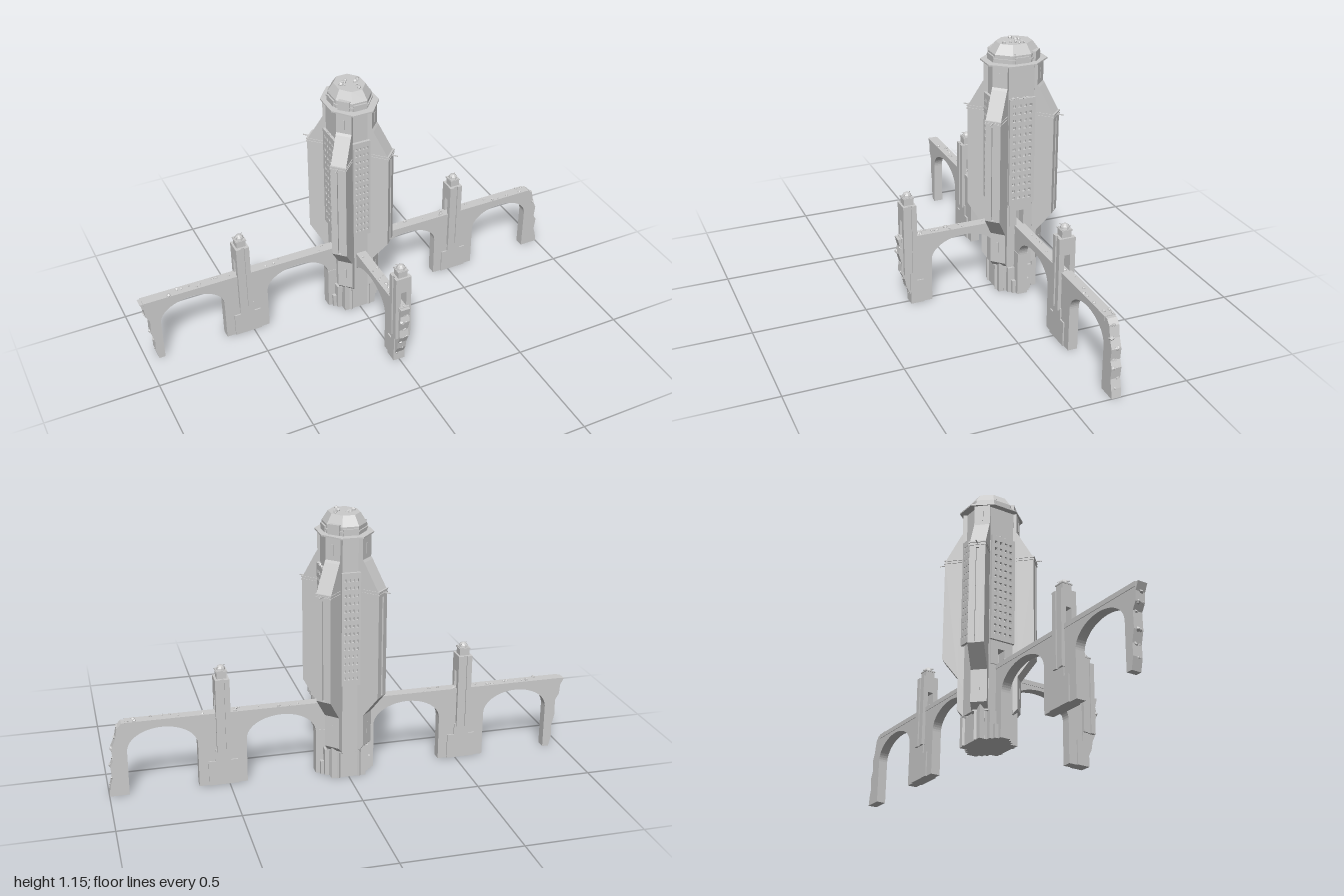
import * as THREE from 'three';

const MAT = new THREE.MeshStandardMaterial({ color: 0xcccccc, flatShading: true });
let seed = 7;
const rnd = () => (seed = (seed * 16807) % 2147483647) / 2147483647;
const range = (a, b) => a + (b - a) * rnd();

function add(parent, name, geo) {
  const m = new THREE.Mesh(geo, MAT);
  m.name = name;
  parent.add(m);
  return m;
}
// Box given by its extents along x, y and z
function box(parent, name, x0, x1, y0, y1, z0, z1) {
  const g = new THREE.BoxGeometry(x1 - x0, y1 - y0, z1 - z0);
  return add(parent, name, g.translate((x0 + x1) / 2, (y0 + y1) / 2, (z0 + z1) / 2));
}
const poly = pts => new THREE.Shape(pts.map(p => new THREE.Vector2(...p)));
// Extrusion centred on z = at
function plate(parent, name, shape, depth, at = 0) {
  const g = new THREE.ExtrudeGeometry(shape, { depth, bevelEnabled: false, curveSegments: 16 });
  return add(parent, name, g.translate(0, 0, at - depth / 2));
}
// Horizontal outline raised from y0 to y1
function prism(parent, name, pts, y0, y1) {
  const g = new THREE.ExtrudeGeometry(poly(pts), { depth: y1 - y0, bevelEnabled: false });
  return add(parent, name, g.rotateX(-Math.PI / 2).translate(0, y0, 0));
}
function rubble(parent, count, place, size = 0.009) {
  for (let i = 0; i < count; i++) {
    const m = add(parent, 'rubble', new THREE.DodecahedronGeometry(size * range(0.5, 1.1), 0));
    m.position.set(...place());
    m.rotation.set(range(0, 3), range(0, 3), range(0, 3));
    m.scale.set(1, range(0.5, 1), 1);
  }
}

// Wall panel pierced by a grid of square windows
function windowPanel(hw, y0, y1, cols, rows) {
  const s = poly([[-hw, y0], [hw, y0], [hw, y1], [-hw, y1]]);
  const dx = (hw * 1.7) / cols, dy = (y1 - y0 - 0.03) / rows, a = dx * 0.26, b = 0.0065;
  for (let c = 0; c < cols; c++) for (let r = 0; r < rows; r++) {
    const x = (c - (cols - 1) / 2) * dx, y = y0 + 0.015 + (r + 0.5) * dy;
    s.holes.push(new THREE.Path([[x - a, y - b], [x - a, y + b], [x + a, y + b], [x + a, y - b]]
      .map(p => new THREE.Vector2(...p))));
  }
  return s;
}

// Diagonal buttress: outer radius changes with height, slot down the end face
function buttress(parent, sx, sz) {
  const g = new THREE.Group();
  g.name = 'buttress';
  g.position.z = sz * 0.022;
  g.rotation.y = Math.atan2(-sz, sx);
  parent.add(g);
  const low = [[0.02, 0.115], [0.075, 0.115], [0.107, 0.15], [0.107, 0.29], [0.175, 0.38]];
  const high = [[0.175, 0.835], [0.107, 0.955], [0.1, 0.965], [0.1, 1.06], [0.02, 1.06]];
  const slot = [[0.175, 0.385], [0.166, 0.385], [0.166, 0.815], [0.175, 0.815]];
  for (const s of [-1, 1]) plate(g, 'buttressCheek', poly([...low, ...high]), 0.028, s * 0.02);
  plate(g, 'buttressSlot', poly([...low, ...slot, ...high]), 0.012);
  for (const y of [0.828, 0.84]) box(g, 'buttressBand', 0.1, 0.178, y - 0.003, y + 0.003, -0.037, 0.037);
  box(g, 'spar', 0.17, 0.206, 0.832, 0.836, -0.002, 0.002);
  box(g, 'lowerSlit', 0.1, 0.109, 0.2, 0.25, -0.005, 0.005);
  box(g, 'upperSlit', 0.09, 0.102, 0.985, 1.03, -0.005, 0.005);
  // stepped foot under the buttress
  box(g, 'foot', 0, 0.085, 0, 0.12, -0.022, 0.022);
}

function octagonTier(parent, name, profile) {
  const k = 1 / Math.cos(Math.PI / 8);
  const g = new THREE.LatheGeometry(profile.map(([r, y]) => new THREE.Vector2(r * k, y)), 8, Math.PI / 8);
  return add(parent, name, g.scale(1, 1, 1.22));
}

function tower() {
  const t = new THREE.Group();
  t.name = 'tower';
  // Core: two half shells with a hollow between them for the see-through windows
  for (const s of [-1, 1]) {
    const half = [[-0.085, 0.045], [0.085, 0.045], [0.085, 0.058], [0.04, 0.103], [-0.04, 0.103], [-0.085, 0.058]];
    const pts = half.map(([x, z]) => [x, z * s]);
    prism(t, 'coreShell', s < 0 ? pts.reverse() : pts, 0.12, 1.06);
    box(t, 'gateJamb', -0.09, 0.09, 0.325, 0.43, Math.min(s * 0.016, s * 0.05), Math.max(s * 0.016, s * 0.05));
  }
  box(t, 'coreBase', -0.085, 0.085, 0, 0.325, -0.05, 0.05);
  box(t, 'gateLintel', -0.09, 0.09, 0.395, 0.43, -0.05, 0.05);
  box(t, 'coreTop', -0.085, 0.085, 0.91, 1.06, -0.05, 0.05);
  // Window panels on the four sides
  for (const s of [-1, 1]) {
    const side = plate(t, 'sideWindows', windowPanel(0.058, 0.43, 0.915, 4, 14), 0.012, 0.094);
    side.rotation.y = s * Math.PI / 2;
    const face = plate(t, 'faceWindows', windowPanel(0.04, 0.43, 0.915, 4, 14), 0.012, 0.112);
    face.rotation.y = s < 0 ? Math.PI : 0;
  }
  // Stepped base and bridge abutments
  box(t, 'base', -0.075, 0.075, 0, 0.15, -0.09, 0.09);
  box(t, 'baseStep', -0.095, 0.095, 0, 0.12, -0.055, 0.055);
  box(t, 'plinth', -0.11, 0.11, 0, 0.06, -0.04, 0.04);
  box(t, 'abutment', -0.127, 0.127, 0, 0.2, -0.0235, 0.0235);
  for (const sx of [-1, 1]) for (const sz of [-1, 1]) buttress(t, sx, sz);
  // Crown: ledges, faceted dome and broken blocks
  octagonTier(t, 'ledge', [[0, 1.055], [0.11, 1.058], [0.11, 1.064], [0, 1.066]]);
  octagonTier(t, 'crown', [[0, 1.06], [0.083, 1.06], [0.083, 1.1], [0.06, 1.14], [0, 1.14]]);
  octagonTier(t, 'upperLedge', [[0, 1.078], [0.088, 1.078], [0.088, 1.084], [0, 1.084]]);
  for (let i = 0; i < 4; i++) {
    const b = box(t, 'crownBlock', 0.03, 0.092, 1.066, 1.108, -0.026, 0.026);
    b.rotation.y = Math.PI / 4 + i * Math.PI / 2;
    b.position.z = (i === 0 || i === 3 ? -1 : 1) * 0.016;
    const c = box(t, 'crownPlate', -0.032, 0.032, 1.066, 1.092, 0.05, i % 2 ? 0.09 : 0.108);
    c.rotation.y = i * Math.PI / 2;
  }
  rubble(t, 12, () => [range(-0.05, 0.05), 1.141, range(-0.06, 0.06)], 0.012);
  rubble(t, 10, () => [(rnd() < 0.5 ? -1 : 1) * 0.094, 0.917, range(-0.05, 0.05)], 0.007);
  return t;
}

// Gate turret straddling the bridge at distance u
function turret(parent, u) {
  const g = new THREE.Group();
  g.name = 'turret';
  g.position.x = u;
  parent.add(g);
  box(g, 'turretShaft', -0.03, 0.03, 0.15, 0.325, -0.03, 0.03);
  box(g, 'turretHead', -0.03, 0.03, 0.4, 0.475, -0.03, 0.03);
  for (const s of [-1, 1]) {
    box(g, 'turretPost', -0.03, 0.03, 0.325, 0.4, s > 0 ? 0.013 : -0.03, s > 0 ? 0.03 : -0.013);
    for (const x of [-0.019, 0.019])
      box(g, 'turretRib', x - 0.011, x + 0.011, 0.15, 0.475, s > 0 ? 0.028 : -0.036, s > 0 ? 0.036 : -0.028);
  }
  box(g, 'turretNeck', -0.021, 0.021, 0.47, 0.51, -0.021, 0.021);
  box(g, 'turretBand', -0.024, 0.024, 0.503, 0.508, -0.024, 0.024);
  const cap = add(g, 'turretCap', new THREE.SphereGeometry(0.02, 8, 4, 0, Math.PI * 2, 0, Math.PI / 2));
  cap.position.y = 0.51;
  const spar = box(g, 'turretSpar', -0.025, 0.025, 0.521, 0.524, -0.0015, 0.0015);
  spar.rotation.y = 0.7;
}

// Arched bridge running out along +x; arches as [inner, outer], then a ragged broken end
function bridge(name, arches, brokenEdge, turretAt, angle) {
  const g = new THREE.Group();
  g.name = name;
  g.rotation.y = angle;
  const s = poly([[0.08, 0.322], ...brokenEdge]);
  for (const [a, b] of [...arches].reverse()) {
    s.lineTo(b, 0);
    s.lineTo(b, 0.195);
    s.absellipse((a + b) / 2, 0.195, (b - a) / 2, 0.095, 0, Math.PI, false);
    s.lineTo(a, 0);
  }
  s.lineTo(0.08, 0);
  plate(g, 'arches', s, 0.042);
  const end = brokenEdge[0][0];
  box(g, 'deckEdge', 0.08, end - 0.015, 0.305, 0.325, -0.0235, 0.0235);
  // Thickened pier below the turret
  const p0 = arches[arches.length > 1 ? 0 : arches.length - 1][1];
  const p1 = arches.length > 1 ? arches[1][0] : p0 + 0.1;
  box(g, 'pierFacing', p0 + 0.04, p1 - (arches.length > 1 ? 0.04 : 0), 0, 0.11, -0.027, 0.027);
  box(g, 'pierBack', p0 + 0.07, p1 - (arches.length > 1 ? 0.07 : 0), 0.1, 0.16, -0.027, 0.027);
  turret(g, turretAt);
  // Loose stones on the deck and along the broken end
  rubble(g, 16, () => [range(0.13, end - 0.02), 0.326, range(-0.016, 0.016)]);
  for (const [u, y] of brokenEdge.slice(1, -1)) rubble(g, 2, () => [u - 0.004, y, range(-0.014, 0.014)], 0.011);
  return g;
}

export function createModel() {
  const root = new THREE.Group();
  root.name = 'ruinedTowerWithBridges';
  const all = new THREE.Group();
  all.name = 'structure';
  all.position.z = -0.187;
  root.add(all);
  all.add(tower());
  const arches = [[0.127, 0.423], [0.627, 0.918]];
  all.add(bridge('leftBridge', arches, [[0.935, 0.322], [0.955, 0.3], [0.965, 0.25], [0.982, 0.21], [0.977, 0.16],
    [0.99, 0.13], [0.984, 0.08], [0.995, 0.04], [1, 0]], 0.52, 0));
  all.add(bridge('rightBridge', arches, [[1, 0.322], [0.985, 0.29], [0.982, 0.25], [0.965, 0.22], [0.967, 0.15],
    [0.955, 0.1], [0.957, 0.05], [0.946, 0]], 0.53, Math.PI));
  all.add(bridge('frontBridge', [[0.085, 0.387]], [[0.54, 0.322], [0.53, 0.28], [0.537, 0.25], [0.524, 0.2],
    [0.53, 0.16], [0.512, 0.12], [0.505, 0.08], [0.485, 0.04], [0.487, 0]], 0.487, -Math.PI / 2));
  return root;
}
